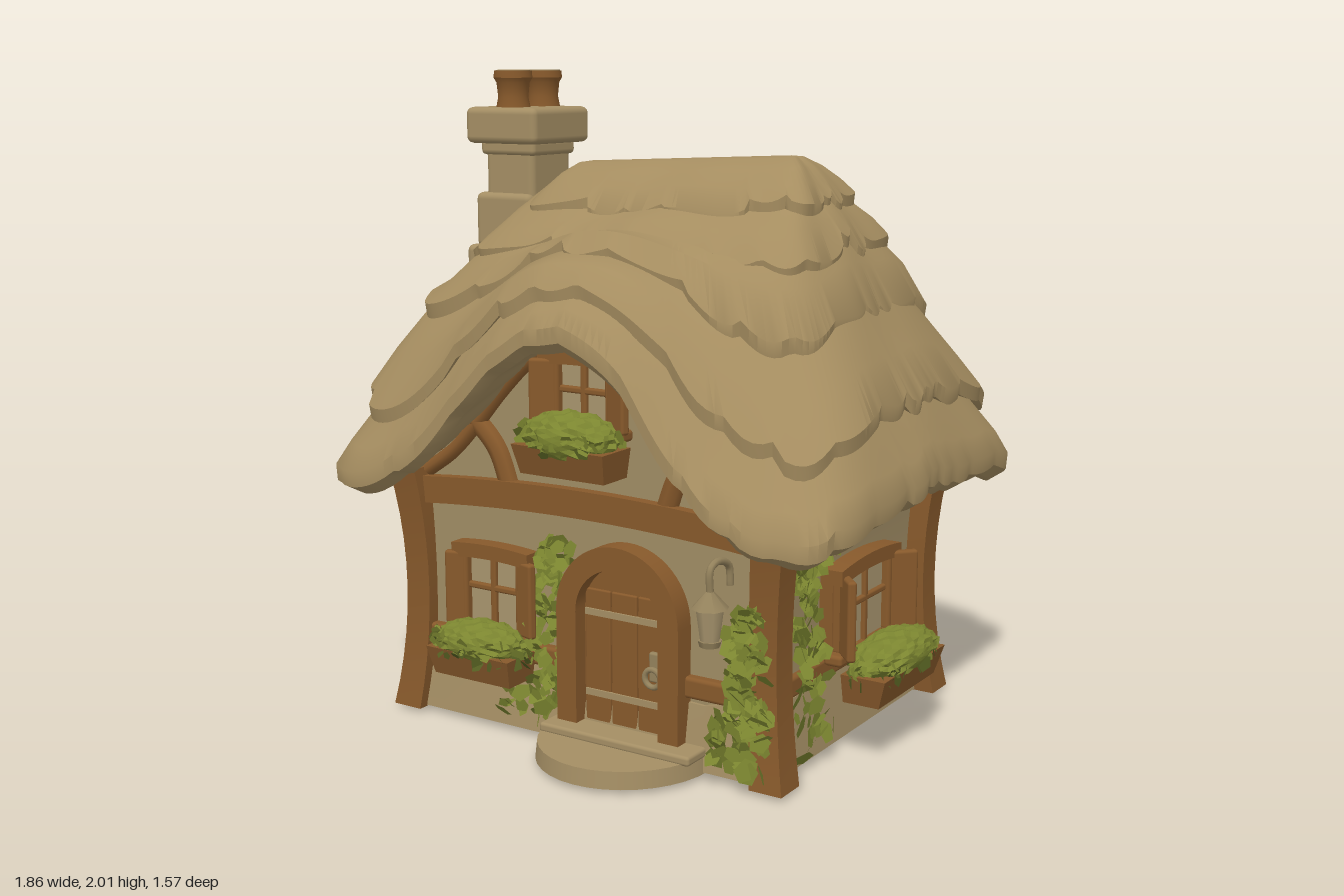
import * as THREE from 'three';
import { mergeGeometries, toCreasedNormals } from 'three/addons/utils/BufferGeometryUtils.js';
import { RoundedBoxGeometry } from 'three/addons/geometries/RoundedBoxGeometry.js';

const mat = (name, color, side = THREE.FrontSide) => {
  const m = new THREE.MeshStandardMaterial({ color, side });
  m.name = name;
  return m;
};
const M = {
  thatch: mat('thatch', 0xa58d60), plaster: mat('plaster', 0xa08c64), stone: mat('stone', 0xa48e64),
  wood: mat('wood', 0x87592b), glass: mat('window pane', 0xa8956e), metal: mat('lantern metal', 0x94825c),
  leaf: mat('leaf', 0x7c8630, THREE.DoubleSide), darkLeaf: mat('dark leaf', 0x566022, THREE.DoubleSide),
};
let seed = 7;
const rnd = () => ((seed = (seed * 16807) % 2147483647) / 2147483647);
const spread = (s) => (rnd() - 0.5) * 2 * s;

function add(parent, name, geo, material, x = 0, y = 0, z = 0) {
  const m = new THREE.Mesh(geo, material);
  m.name = name;
  m.position.set(x, y, z);
  parent.add(m);
  return m;
}
const block = (w, h, d, r = 0.012) => new RoundedBoxGeometry(w, h, d, 2, Math.min(r, w / 3, h / 3, d / 3));

// Box whose vertices are moved by a rule
function bentBox(w, h, d, sx, sy, rule) {
  const g = new THREE.BoxGeometry(w, h, d, sx, sy, 1), p = g.attributes.position, v = new THREE.Vector3();
  for (let i = 0; i < p.count; i++) {
    rule(v.fromBufferAttribute(p, i));
    p.setXYZ(i, v.x, v.y, v.z);
  }
  return toCreasedNormals(g, 0.6);
}
const tube = (pts, r, n = 16) =>
  new THREE.TubeGeometry(new THREE.CatmullRomCurve3(pts.map((p) => new THREE.Vector3(...p))), n, r, 8);

// Bell curve of the gable arch
const bell = (x) => Math.exp(-Math.pow(Math.abs(x) / 0.44, 2.5));

// One thatch layer; rows are [half width, half depth, height, arch], the last `edge` rows ragged
function thatchLayer(rows, lift, shift, edge, clumps, rag) {
  const N = 240, pos = [], idx = [], n = 7;
  const jag = Array.from({ length: clumps }, () => rnd() - 0.4);
  rows.forEach(([a, b, y0, arch], r) => {
    for (let j = 0; j <= N; j++) {
      const u = (j % N) / N, t = u * Math.PI * 2, c = Math.cos(t), s = Math.sin(t);
      const k = Math.pow(Math.abs(c) ** n + Math.abs(s) ** n, -1 / n);
      const place = u * clumps + 0.3 * Math.sin(t * 7) + clumps, i = Math.floor(place);
      // Each clump sags a little in its middle
      const e = r >= rows.length - edge ? rag * (jag[i % clumps] + 0.5 * Math.sin((place - i) * Math.PI)) : 0;
      const x = c * k * (a + 0.5 * e), f = bell(x);
      const z = s * k * (b + 0.5 * e) * (1 - 0.19 * arch * f);
      const side = Math.pow(Math.abs(c * k), 8) * (1 - (s * k) ** 2);
      const wave = 0.007 * Math.min(1, b * 4) * Math.sin(t * 9 + y0 * 9);
      pos.push(x + shift, y0 + arch * f + lift * side - e + wave + (y0 > 1.3 ? 0.05 * x : 0), z);
    }
  });
  for (let r = 0; r < rows.length - 1; r++)
    for (let j = 0; j < N; j++) {
      const a = r * (N + 1) + j, c = a + N + 1;
      idx.push(a, a + 1, c, a + 1, c + 1, c);
    }
  const g = new THREE.BufferGeometry();
  g.setAttribute('position', new THREE.Float32BufferAttribute(pos, 3));
  g.setIndex(idx);
  return toCreasedNormals(g, 0.7);
}

// Scatter of flat pointed leaves facing `turn`; place(i) returns a position
function leaves(count, size, place, turn = 0) {
  return mergeGeometries(Array.from({ length: count }, (_, i) => {
    const g = new THREE.CircleGeometry(size * (0.7 + rnd() * 0.6), 5);
    g.scale(0.8, 1, 1).rotateZ(spread(3)).rotateX(spread(0.8)).rotateY(turn + spread(0.7));
    return g.translate(...place(i));
  }));
}

// Planter box filled with foliage, hung in front of a wall
function planter(parent, w, y, out, dark, full) {
  const g = new THREE.Group();
  g.name = 'planter';
  g.position.set(0, y, out);
  parent.add(g);
  add(g, 'planterBox', bentBox(w, 0.09, 0.13, 1, 1, (v) => { v.x *= 1 + v.y; if (v.z > 0) v.z += v.y * 0.3; }), M.wood);
  const mound = new THREE.IcosahedronGeometry(1, 5), p = mound.attributes.position;
  for (let i = 0; i < p.count; i++) {
    const k = 1 + 0.1 * Math.sin(p.getX(i) * 17) * Math.sin(p.getY(i) * 13 + p.getZ(i) * 11);
    p.setXYZ(i, p.getX(i) * k * w * 0.52, p.getY(i) * k * full, p.getZ(i) * k * 0.095);
  }
  mound.computeVertexNormals();
  add(g, 'foliage', mound, M.leaf, 0, 0.07, 0.005);
  const ring = (low) => () => {
    const t = rnd() * Math.PI * 2;
    return [Math.cos(t) * w * 0.54, low + spread(0.02), Math.sin(t) * 0.092 + 0.005];
  };
  add(g, 'leafTips', leaves(45, 0.022, ring(0.07)), M.leaf);
  add(g, 'trailingLeaves', leaves(dark, 0.022, ring(0.04)), M.darkLeaf);
}

// Window facing +z: pane, glazing bars, frame, shutters and planter
function windowUnit(parent, name, x, y, z, turn, { pane, h, total, box, out, open, dark, full, closed }) {
  const g = new THREE.Group();
  g.name = name;
  g.position.set(x, y, z);
  g.rotation.y = turn;
  parent.add(g);
  add(g, 'casing', new THREE.BoxGeometry(pane + 0.05, h, 0.08), M.wood, 0, h / 2, -0.035);
  add(g, 'pane', new THREE.BoxGeometry(pane, h, 0.008), closed ? M.wood : M.glass, 0, h / 2, 0.01);
  add(g, 'glazingBar', block(0.022, h, 0.025), M.wood, 0, h / 2, 0.015);
  if (!closed) add(g, 'glazingBar', block(pane, 0.02, 0.025), M.wood, 0, h * 0.55, 0.015);
  add(g, 'lintel', bentBox(total * 0.86, 0.045, 0.06, 8, 1, (v) => { v.y -= v.x * v.x * 0.4; }), M.wood, 0, h + 0.01, 0.015);
  add(g, 'sill', block(total * 0.86, 0.035, 0.06), M.wood, 0, -0.01, 0.015);
  const sw = (total - pane) / 2;
  for (const s of [-1, 1]) {
    add(g, 'jamb', block(0.035, h, 0.05), M.wood, s * (pane / 2 + 0.01), h / 2, 0.015);
    if (closed) add(g, 'shutterPanel', block(pane / 2 - 0.03, h - 0.03, 0.025), M.wood, s * pane / 4, h / 2, 0.015);
    else {
      const sh = add(g, 'shutter', block(sw, h * 0.98, 0.028), M.wood, s * (total / 2 - sw / 2), h / 2, 0.025 + Math.sin(open) * sw / 2);
      sh.rotation.y = -s * open;
    }
  }
  if (box) planter(g, box, -0.085, out, dark, full);
}

export function createModel() {
  seed = 7;
  const house = new THREE.Group();
  house.name = 'cottage';

  // Walls with an arched gable, plinth and floor underside
  const s = new THREE.Shape();
  s.moveTo(-0.63, 0.01).lineTo(0.63, 0.01).quadraticCurveTo(0.59, 0.4, 0.63, 0.74);
  for (let x = 0.6; x > -0.61; x -= 0.05) s.lineTo(x, 0.75 + 0.5 * bell(x));
  s.lineTo(-0.63, 0.74).quadraticCurveTo(-0.59, 0.4, -0.63, 0.01);
  const wall = new THREE.ExtrudeGeometry(s, { depth: 0.97, bevelEnabled: false, curveSegments: 8 });
  add(house, 'walls', toCreasedNormals(wall, 0.5), M.plaster, 0, 0, -0.485);
  add(house, 'plinth', bentBox(1.25, 0.2, 0.99, 12, 2, (v) => {
    v.z *= 1.03 - v.y * 0.3;
    v.x *= 1.01 - v.y * 0.2;
    if (v.y > 0.05) v.y += 0.015 * Math.sin(v.x * 19 + v.z * 8);
  }), M.stone, 0, 0.104, 0);
  add(house, 'floorUnderside', new THREE.BoxGeometry(1.28, 0.006, 1.02), M.wood, 0, 0.004, 0);

  // Corner posts, rails and braces
  for (const sx of [-1, 1])
    for (const sz of [-1, 1])
      add(house, 'cornerPost', bentBox(0.1, 0.78, 0.1, 1, 10, (v) => {
        const k = v.y / 0.39;
        v.x = v.x * (0.9 + 0.15 * k * k) + sx * 0.03 * k * k;
        v.z = v.z * (0.9 + 0.15 * k * k) + sz * 0.025 * k * k;
      }), M.wood, sx * 0.627, 0.39, sz * 0.48);
  for (const k of [-1, 1]) {
    add(house, 'gableBeam', bentBox(1.24, 0.085, 0.07, 12, 1, (v) => { v.y += 0.02 - v.x * v.x * 0.08; }), M.wood, 0, 0.72, k * 0.485);
    add(house, 'sideBeam', new THREE.BoxGeometry(0.07, 0.22, 0.98), M.wood, k * 0.625, 0.8, 0);
    add(house, 'sideRail', block(0.05, 0.065, 0.96), M.wood, k * 0.607, 0.245, 0);
    for (const sx of [-1, 1])
      add(house, 'brace', tube([[sx * 0.28, 0.75, 0], [sx * 0.33, 0.87, 0], [sx * 0.43, 0.97, 0]], 0.036), M.wood, 0, 0, k * 0.48);
    add(house, 'archTrim', tube(Array.from({ length: 13 }, (_, i) => {
      const x = (i - 6) * 0.1;
      return [x, 0.715 + 0.5 * bell(x), 0];
    }), 0.024, 40), M.wood, 0, 0, k * 0.49);
  }
  add(house, 'backRail', block(1.2, 0.065, 0.05), M.wood, 0, 0.245, -0.49);
  add(house, 'frontRail', block(0.54, 0.065, 0.05), M.wood, -0.33, 0.245, 0.49);
  add(house, 'frontRail', block(0.25, 0.065, 0.05), M.wood, 0.47, 0.245, 0.49);

  // Layered thatched roof, eave first
  const roof = new THREE.Group();
  roof.name = 'roof';
  house.add(roof);
  add(roof, 'eaveThatch', thatchLayer([[0.69, 0.5, 1.14, 0.29], [0.8, 0.59, 0.97, 0.41], [0.89, 0.675, 0.84, 0.5],
    [0.92, 0.72, 0.77, 0.52], [0.915, 0.72, 0.72, 0.52], [0.87, 0.685, 0.69, 0.52], [0.58, 0.44, 0.75, 0.5]], 0.095, 0, 5, 38, 0.022), M.thatch);
  add(roof, 'lowerThatch', thatchLayer([[0.57, 0.34, 1.39, 0.08], [0.69, 0.46, 1.22, 0.26], [0.79, 0.565, 1.08, 0.38],
    [0.845, 0.62, 0.995, 0.42], [0.84, 0.615, 0.95, 0.42], [0.75, 0.53, 0.98, 0.4]], 0.12, 0, 3, 30, 0.045), M.thatch);
  add(roof, 'middleThatch', thatchLayer([[0.48, 0.22, 1.55, 0.02], [0.58, 0.34, 1.43, 0.1], [0.65, 0.415, 1.345, 0.19],
    [0.705, 0.465, 1.275, 0.23], [0.7, 0.46, 1.23, 0.23], [0.61, 0.37, 1.25, 0.22]], 0.06, 0, 3, 26, 0.045), M.thatch);
  add(roof, 'upperThatch', thatchLayer([[0.42, 0.11, 1.65, 0], [0.52, 0.23, 1.56, 0.02], [0.57, 0.305, 1.5, 0.06],
    [0.605, 0.35, 1.45, 0.09], [0.6, 0.345, 1.405, 0.09], [0.53, 0.28, 1.42, 0.09]], 0.04, 0.01, 3, 22, 0.045), M.thatch);
  add(roof, 'ridgeThatch', thatchLayer([[0.36, 0, 1.735, 0], [0.39, 0.05, 1.73, 0], [0.43, 0.11, 1.7, 0], [0.47, 0.17, 1.655, 0],
    [0.5, 0.21, 1.615, 0], [0.495, 0.21, 1.57, 0], [0.42, 0.15, 1.575, 0]], 0, 0.05, 3, 18, 0.035), M.thatch);

  // Stepped chimney with two pots
  const chimney = new THREE.Group();
  chimney.name = 'chimney';
  chimney.position.set(-0.565, 0, 0);
  house.add(chimney);
  [[0.25, 0.24, 0.28, -0.03, 1.32], [0.22, 0.18, 0.25, -0.015, 1.52], [0.19, 0.24, 0.21, 0, 1.68], [0.215, 0.05, 0.23, 0, 1.755], [0.28, 0.115, 0.305, 0, 1.825]]
    .forEach(([w, h, d, x, y]) => add(chimney, 'chimneyStone', block(w, h, d, 0.022), M.stone, x, y, 0));
  const pot = [[0.056, 0], [0.048, 0.04], [0.053, 0.085], [0.062, 0.1], [0.06, 0.122], [0, 0.122]];
  for (const z of [-0.085, 0.075]) {
    add(chimney, 'chimneyPot', toCreasedNormals(new THREE.LatheGeometry(pot.map((p) => new THREE.Vector2(...p)), 20), 0.6), M.wood, 0, 1.875, z);
    add(chimney, 'potTop', new THREE.CylinderGeometry(0.055, 0.055, 0.003, 20), M.stone, 0, 1.998, z);
  }

  // Windows
  const small = { pane: 0.2, h: 0.24, total: 0.34, box: 0.3, out: 0.085, open: 0.3, dark: 50, full: 0.06 };
  const wide = { pane: 0.27, h: 0.25, total: 0.46, box: 0.4, out: 0.115, open: 0.75, dark: 50, full: 0.06 };
  const gable = { pane: 0.18, h: 0.2, total: 0.35, box: 0.31, out: 0.085, open: 0.4, dark: 8, full: 0.075 };
  windowUnit(house, 'frontWindow', -0.33, 0.3, 0.495, 0, small);
  windowUnit(house, 'leftWindow', 0.66, 0.3, 0, Math.PI / 2, wide);
  windowUnit(house, 'rightWindow', -0.66, 0.3, 0, -Math.PI / 2, wide);
  windowUnit(house, 'frontGableWindow', 0.02, 0.975, 0.5, 0, gable);
  windowUnit(house, 'backGableWindow', 0, 0.975, -0.5, Math.PI, gable);
  windowUnit(house, 'backShutteredWindow', 0, 0.29, -0.49, Math.PI, { pane: 0.28, h: 0.25, total: 0.36, closed: true });

  // Arched plank door with frame, straps and handle
  const door = new THREE.Group();
  door.name = 'door';
  door.position.set(0.15, 0.07, 0.485);
  house.add(door);
  const arch = (w, h) => new THREE.Shape().moveTo(-w, 0).lineTo(w, 0).lineTo(w, h - w).absarc(0, h - w, w, 0, Math.PI).lineTo(-w, 0);
  const frame = arch(0.215, 0.57);
  frame.holes.push(arch(0.145, 0.5));
  const ext = (sh, depth) => toCreasedNormals(new THREE.ExtrudeGeometry(sh, { depth, bevelEnabled: false, curveSegments: 14 }), 0.6);
  add(door, 'doorFrame', ext(frame, 0.07), M.wood);
  add(door, 'doorLeaf', ext(arch(0.15, 0.505), 0.02), M.wood);
  for (const x of [-0.094, 0, 0.094]) add(door, 'plank', block(0.09, 0.42, 0.016, 0.005), M.wood, x, 0.21, 0.02);
  for (const y of [0.1, 0.35]) add(door, 'strap', new THREE.BoxGeometry(0.27, 0.02, 0.008), M.stone, 0, y, 0.03);
  add(door, 'handlePlate', block(0.035, 0.09, 0.02), M.metal, 0.115, 0.22, 0.035);
  add(door, 'handle', new THREE.TorusGeometry(0.027, 0.009, 8, 16), M.metal, 0.115, 0.19, 0.05);

  // Rounded doorstep and threshold
  add(house, 'doorstep', new THREE.CylinderGeometry(1, 1.02, 1, 36), M.stone, 0.16, 0.026, 0.5).scale.set(0.27, 0.052, 0.285);
  add(house, 'threshold', block(0.53, 0.03, 0.14), M.stone, 0.17, 0.062, 0.54);

  // Hanging lantern
  const lantern = new THREE.Group();
  lantern.name = 'lantern';
  lantern.position.set(0.5, 0, 0.6);
  house.add(lantern);
  add(lantern, 'bracket', tube([[0, 0.57, -0.11], [0, 0.63, -0.1], [0, 0.655, -0.04], [0, 0.64, 0], [0, 0.57, 0]], 0.011), M.metal);
  add(lantern, 'lanternRoof', new THREE.ConeGeometry(0.055, 0.06, 8), M.metal, 0, 0.56, 0);
  add(lantern, 'lanternGlass', new THREE.CylinderGeometry(0.042, 0.028, 0.1, 8), M.glass, 0, 0.485, 0);
  add(lantern, 'lanternBase', new THREE.CylinderGeometry(0.035, 0.03, 0.018, 8), M.metal, 0, 0.428, 0);

  // Ivy on the walls, from point a to point b
  const ivy = (name, n, a, b, sp, r, turn = 0, m = M.leaf) =>
    add(house, name, leaves(n, r, (i) => {
      const t = i / n, k = 1 - t * 0.6;
      return a.map((v, d) => v + (b[d] - v) * t + spread(sp[d] * k));
    }, turn), m);
  const sideways = Math.PI / 2;
  ivy('ivyByDoor', 120, [-0.19, 0.05, 0.53], [-0.09, 0.62, 0.51], [0.12, 0.03, 0.02], 0.03);
  ivy('ivyByPost', 130, [0.57, 0.05, 0.55], [0.58, 0.52, 0.53], [0.1, 0.03, 0.02], 0.034);
  ivy('sideIvy', 95, [0.67, 0.06, 0.29], [0.64, 0.66, 0.3], [0.02, 0.03, 0.1], 0.03, sideways);
  ivy('sideIvyTop', 50, [0.67, 0.66, 0.2], [0.65, 0.56, 0.38], [0.02, 0.05, 0.06], 0.03, sideways);
  ivy('lowSideIvy', 40, [0.66, 0.13, -0.33], [0.65, 0.2, -0.22], [0.02, 0.04, 0.09], 0.03, sideways);
  ivy('rightSideIvy', 35, [-0.65, 0.66, 0.22], [-0.64, 0.55, 0.32], [0.02, 0.04, 0.07], 0.03, sideways);
  ivy('rightSideLowIvy', 30, [-0.66, 0.13, -0.3], [-0.65, 0.2, -0.22], [0.02, 0.04, 0.08], 0.03, sideways);

  // Drooping shrub and pale sprig at the back
  ivy('backShrub', 120, [-0.38, 0.17, -0.55], [-0.36, 0.05, -0.7], [0.13, 0.04, 0.04], 0.034, 0, M.darkLeaf);
  ivy('shrubTips', 30, [-0.38, 0.19, -0.54], [-0.38, 0.08, -0.68], [0.13, 0.04, 0.03], 0.03, 0, M.leaf);
  ivy('paleSprig', 24, [-0.44, 0.04, -0.7], [-0.43, 0.03, -0.76], [0.06, 0.02, 0.03], 0.03, 0, M.stone);
  return house;
}
